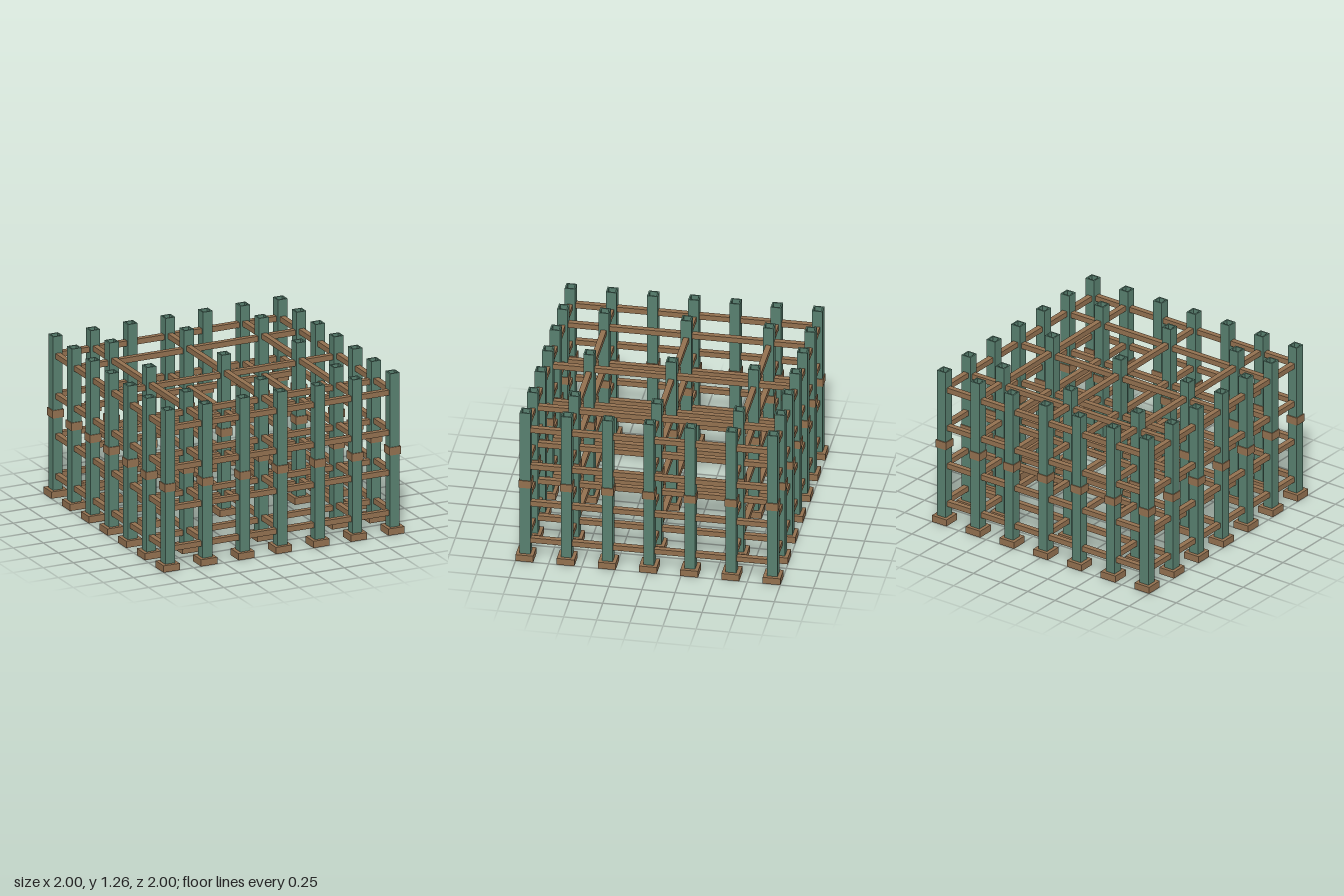
import * as THREE from 'three';

const GRID = 0.311;      // post spacing
const EDGE = 3 * GRID;   // outer row of posts
const POST = 0.08, WALL = 0.011, BASE_H = 0.053, TOP = 1.26;

// square outline used for tubes and collars
function square(Type, size) {
  const h = size / 2;
  return new Type([[-h, -h], [h, -h], [h, h], [-h, h]].map(([x, y]) => new THREE.Vector2(x, y)));
}

// upright square tube, open at both ends
function tube(outer, inner, height) {
  const shape = square(THREE.Shape, outer);
  shape.holes.push(square(THREE.Path, inner));
  return new THREE.ExtrudeGeometry(shape, { depth: height, bevelEnabled: false }).rotateX(-Math.PI / 2);
}

export function createModel() {
  const model = new THREE.Group();
  const green = new THREE.MeshStandardMaterial({ color: 0x58806f });
  green.name = 'green post';
  const brown = new THREE.MeshStandardMaterial({ color: 0x92704f });
  brown.name = 'brown wood';

  const add = (parent, name, geometry, material, x, y, z) => {
    const mesh = new THREE.Mesh(geometry, material);
    mesh.name = name;
    mesh.position.set(x, y, z);
    parent.add(mesh);
  };

  const postGeo = tube(POST, POST - 2 * WALL, TOP - BASE_H);
  const collarGeo = tube(0.094, POST - 0.004, 0.062);
  const footGeo = new THREE.BoxGeometry(0.134, BASE_H, 0.134);

  // posts: every step around the edge, every second step inside
  for (let i = -3; i <= 3; i++) {
    for (let j = -3; j <= 3; j++) {
      const onEdge = Math.abs(i) === 3 || Math.abs(j) === 3;
      if (!onEdge && (i % 2 !== 0 || j % 2 !== 0)) continue;
      const post = new THREE.Group();
      post.name = 'post';
      post.position.set(i * GRID, 0, j * GRID);
      add(post, 'foot', footGeo, brown, 0, BASE_H / 2, 0);
      add(post, 'shaft', postGeo, green, 0, BASE_H, 0);
      add(post, 'collar', collarGeo, brown, 0, 0.62, 0);
      model.add(post);
    }
  }

  // four levels of rails crossing both ways through the posts
  const railX = new THREE.BoxGeometry(2 * EDGE + 0.04, 0.042, 0.042);
  const railZ = new THREE.BoxGeometry(0.042, 0.042, 2 * EDGE + 0.04);
  for (let level = 0; level < 4; level++) {
    const y = 0.161 + level * 0.315;
    for (const k of [-3, -2, 0, 2, 3]) {
      const shift = Math.abs(k) === 3 ? 0 : 0.012;
      add(model, 'crossRail', railX, brown, 0, y - shift, k * GRID);
      add(model, 'sideRail', railZ, brown, k * GRID, y + shift, 0);
    }
  }
  return model;
}
